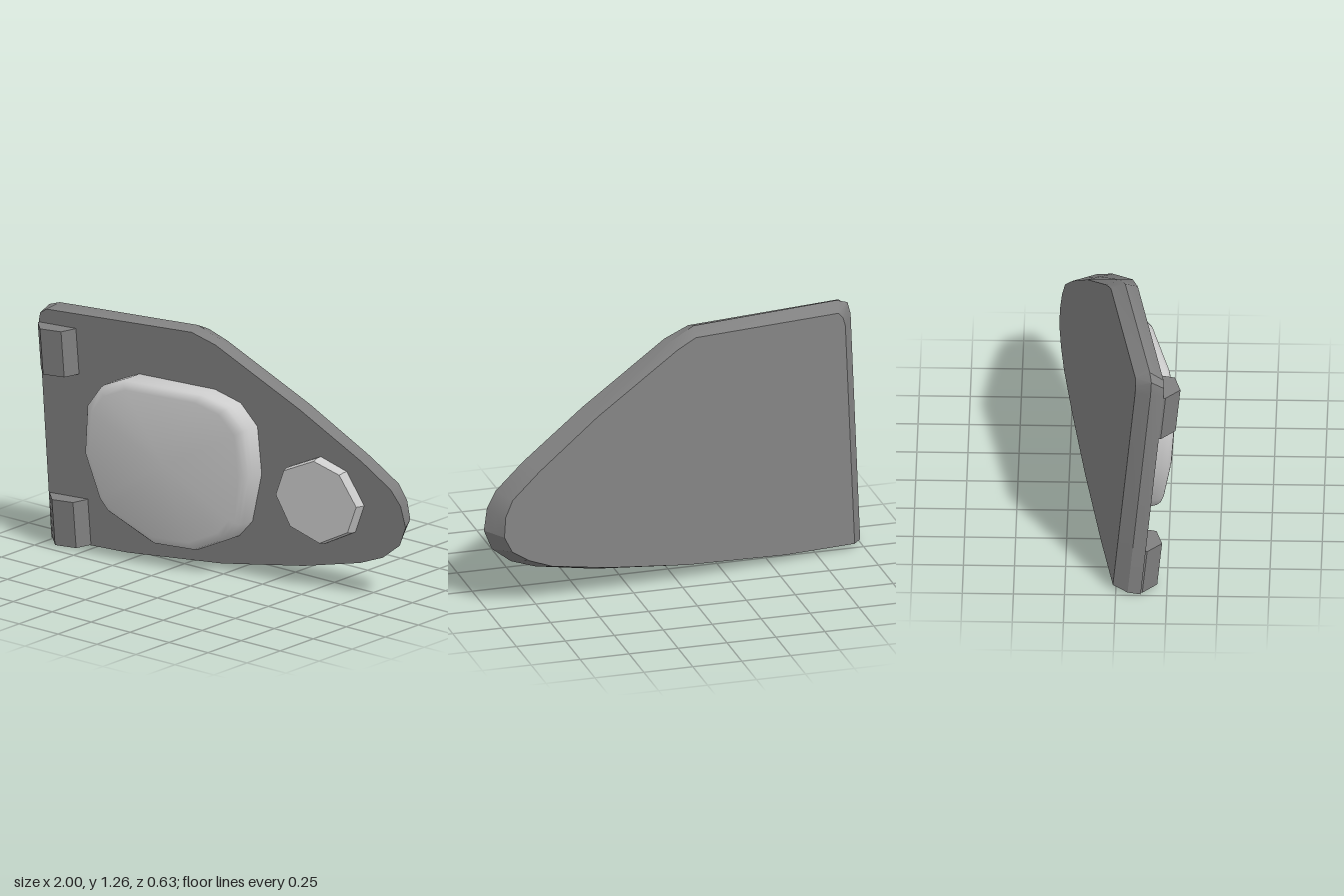
import * as THREE from 'three';
import { toCreasedNormals } from 'three/addons/utils/BufferGeometryUtils.js';

const dark = new THREE.MeshStandardMaterial({ color: 0x808080 });
const light = new THREE.MeshStandardMaterial({ color: 0xcccccc });

// Leaning front plane of the panel
const plane = (x, y) => 0.24 - 0.18 * (x + 0.98) + 0.1 * (y - 1.22);
// Outline points lifted off that plane by h (a number or a function of x, y)
const lift = (outline, h) => outline.map(([x, y]) =>
  [x, y, plane(x, y) + (typeof h === 'function' ? h(x, y) : h)]);
const centre = pts => pts[0].map((_, k) => pts.reduce((s, p) => s + p[k], 0) / pts.length);

// Skin a stack of equal-length rings and close both ends with fans
function loft(name, rings, material, crease) {
  const n = rings[0].length, last = rings.length - 1;
  const pos = [...rings.flat(2), ...centre(rings[0]), ...centre(rings[last])];
  const c0 = n * rings.length, idx = [];
  for (let i = 0; i < n; i++) {
    const j = (i + 1) % n;
    for (let r = 0; r < last; r++) {
      const a = r * n, b = a + n;
      idx.push(a + i, a + j, b + j, a + i, b + j, b + i);
    }
    idx.push(c0, j, i, c0 + 1, last * n + i, last * n + j);
  }
  const geo = new THREE.BufferGeometry();
  geo.setAttribute('position', new THREE.Float32BufferAttribute(pos, 3));
  geo.setIndex(idx);
  const mesh = new THREE.Mesh(toCreasedNormals(geo, crease), material);
  mesh.name = name;
  return mesh;
}

// Raised pad: rings of [scale, share of height] stacked on the plane
function pad(name, outline, height, steps, crease) {
  const [cx, cy] = centre(outline);
  const rings = steps.map(([s, t]) => lift(
    outline.map(([x, y]) => [cx + (x - cx) * s, cy + (y - cy) * s]),
    (x, y) => t * height(x, y)));
  return loft(name, rings, light, crease);
}

export function createModel() {
  const group = new THREE.Group();
  group.name = 'hingedPanel';

  // Panel: front outline, wider middle edge, bevelled back outline
  const rim = [[0.45, 0.93], [0.78, 0.71], [0.93, 0.59], [0.98, 0.51], [1, 0.4], [0.96, 0.3],
    [0.86, 0.22], [0.73, 0.17], [0.41, 0.1], [-0.05, 0.035], [-0.58, 0.003]];
  const backRim = [[0.41, 0.92], [0.73, 0.7], [0.88, 0.58], [0.92, 0.5], [0.93, 0.4], [0.89, 0.32],
    [0.8, 0.26], [0.68, 0.21], [0.39, 0.15], [-0.05, 0.085], [-0.58, 0.04]];
  const midRim = rim.map(([x, y], i) => [(x + backRim[i][0]) / 2, (y + backRim[i][1]) / 2]);
  const front = [[-1, 0.01], [-0.985, 1.16], [-0.975, 1.2], [-0.94, 1.225], [-0.13, 1.24], [0, 1.195], ...rim];
  const middle = [[-1, 0.02], [-0.985, 1.17], [-0.97, 1.23], [-0.91, 1.25], [-0.14, 1.26], [-0.01, 1.2], ...midRim];
  const back = [[-0.95, 0.03], [-0.935, 1.14], [-0.925, 1.18], [-0.9, 1.21], [-0.13, 1.225], [-0.03, 1.18], ...backRim];
  for (const o of [front, middle, back]) o.reverse();
  group.add(loft('panel', [lift(back, -0.13), lift(middle, -0.065), lift(front, 0)], dark, 0.45));

  // Large rounded pad
  const large = [[-0.44, 0.968], [-0.02, 0.958], [0.12, 0.91], [0.205, 0.8], [0.21, 0.55], [0.14, 0.29],
    [0.06, 0.2], [-0.12, 0.115], [-0.34, 0.115], [-0.58, 0.25], [-0.62, 0.31], [-0.685, 0.55],
    [-0.655, 0.8], [-0.575, 0.91]].reverse();
  group.add(pad('largePad', large, (x) => 0.135 - 0.05 * (x + 0.23),
    [[1, -0.15], [1, 0.6], [0.985, 0.8], [0.95, 0.94], [0.89, 1]], 0.9));

  // Small octagonal pad
  const small = [[0.55, 0.7], [0.69, 0.645], [0.775, 0.48], [0.715, 0.33], [0.55, 0.245],
    [0.39, 0.315], [0.32, 0.48], [0.375, 0.62]].reverse();
  group.add(pad('smallPad', small, (x) => 0.055 - 0.05 * (x - 0.55),
    [[1, -0.3], [1, 0.4], [0.95, 1]], 0.4));

  // Two hinge knuckles along the straight edge
  const profile = [[-0.985, -0.03], [-0.985, 0.01], [-0.91, 0.095], [-0.8, 0.085], [-0.78, 0.01], [-0.78, -0.03]];
  for (const [name, y0, y1] of [['upperHinge', 0.91, 1.15], ['lowerHinge', 0.01, 0.25]]) {
    const ring = y => profile.map(([x, h]) => [x, y, plane(x, y) + h]);
    group.add(loft(name, [ring(y0), ring(y1)], dark, 0.7));
  }
  return group;
}
